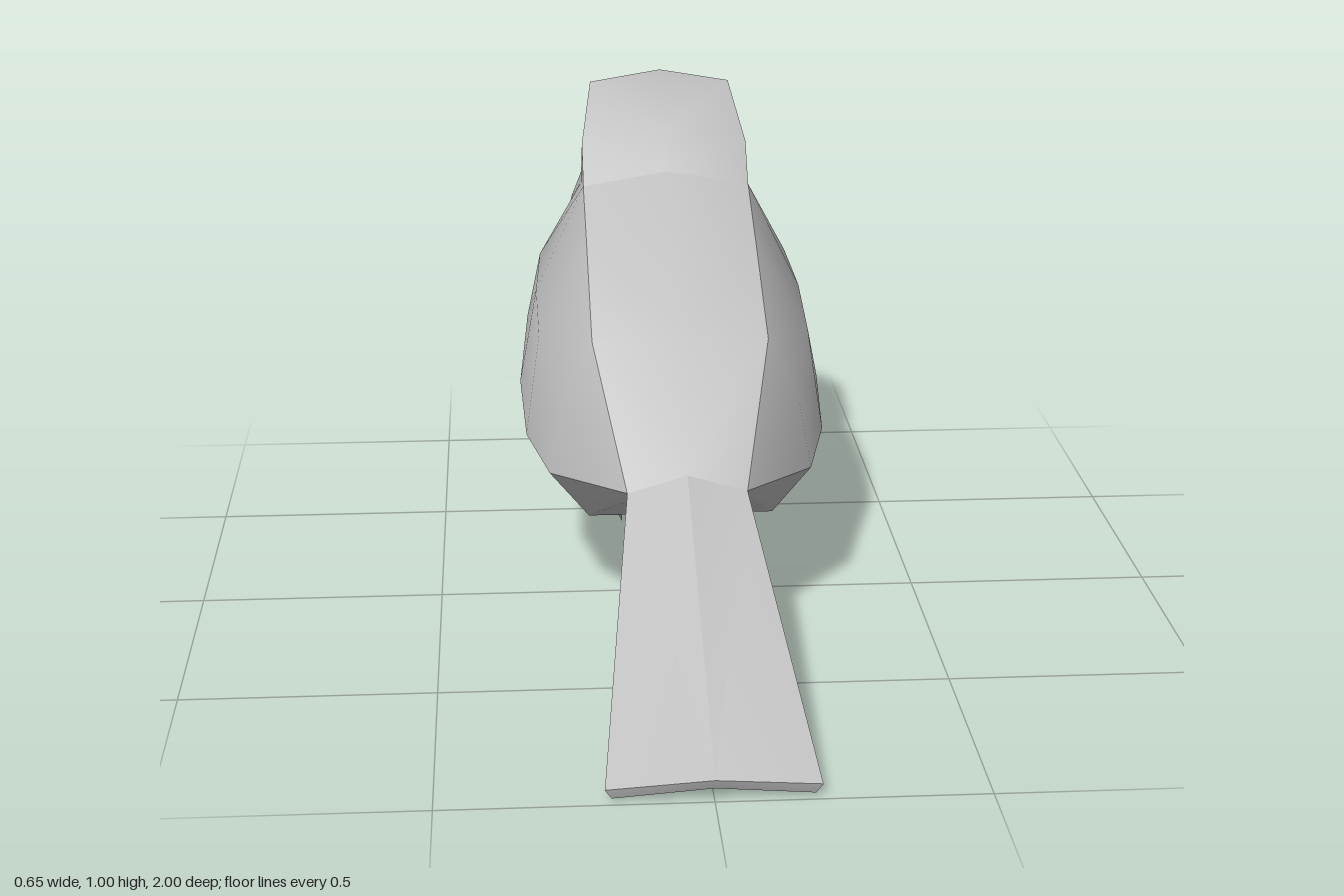
import * as THREE from 'three';
import { toCreasedNormals } from 'three/addons/utils/BufferGeometryUtils.js';

const plumage = new THREE.MeshStandardMaterial({ color: 0xc0c0c0, side: THREE.DoubleSide });
plumage.name = 'plain grey';

// Skins neighbouring cross-sections (ordered tail to beak, each top to bottom),
// adding the mirrored half as well.
function loft(name, sections, crease = 0.9, mirror = true) {
  const pos = [];
  const tri = (a, b, c) => {
    if (a === b || b === c || a === c) return;
    pos.push(...a, ...b, ...c);
    if (mirror) for (const p of [a, c, b]) pos.push(-p[0], p[1], p[2]);
  };
  for (let i = 0; i + 1 < sections.length; i++) {
    const s = sections[i], t = sections[i + 1];
    for (let j = 0; j + 1 < s.length; j++) {
      tri(s[j], s[j + 1], t[j + 1]);
      tri(s[j], t[j + 1], t[j]);
    }
  }
  let geo = new THREE.BufferGeometry();
  geo.setAttribute('position', new THREE.Float32BufferAttribute(pos, 3));
  geo = toCreasedNormals(geo, crease);
  const mesh = new THREE.Mesh(geo, plumage);
  mesh.name = name;
  return mesh;
}

export function createModel() {
  const bird = new THREE.Group();
  bird.name = 'bird';

  // Guide lines of the trunk, from tail root to breast
  const spine = [[0, 0.36, 0.29], [0, 0.6, 0.09], [0, 0.75, -0.17], [0, 0.825, -0.36]];
  const root = [0.12, 0.325, 0.29];
  const ridge = [root, [0.18, 0.575, 0.075], [0.18, 0.7, -0.2], [0.18, 0.785, -0.4],
    [0.18, 0.75, -0.58], [0.2, 0.69, -0.685]];
  const flank = [root, [0.245, 0.44, 0.08], [0.285, 0.53, -0.13], [0.287, 0.57, -0.34],
    [0.275, 0.6, -0.53], [0.203, 0.655, -0.688]];
  const wingEdge = [root, [0.27, 0.3, 0.09], [0.315, 0.32, -0.1], [0.325, 0.375, -0.3],
    [0.305, 0.46, -0.52], [0.2, 0.62, -0.685]];
  const side = [[0.1, 0.315, 0.29], [0.19, 0.205, 0.09], [0.2, 0.205, -0.12],
    [0.22, 0.245, -0.38], [0.2, 0.35, -0.63], [0.14, 0.5, -0.75]];
  const keel = [[0, 0.31, 0.29], [0, 0.205, 0.09], [0, 0.19, -0.12],
    [0, 0.215, -0.4], [0, 0.35, -0.67], [0, 0.5, -0.78]];

  // Points of the face
  const throatSide = [0.12, 0.62, -0.75], throat = [0, 0.62, -0.78];
  const cheek = [0.15, 0.8, -0.74], gape = [0.11, 0.775, -0.81];
  const brow = [0, 0.868, -0.865], chin = [0, 0.73, -0.83], tip = [0, 0.777, -1];
  const crown = [0, 0.96, -0.79], crownSide = [0.12, 0.94, -0.77];

  bird.add(
    loft('back', spine.map((p, i) => [p, ridge[i]])),
    loft('wings', ridge.map((p, i) => [p, flank[i], wingEdge[i]])),
    loft('belly', [...wingEdge.map((p, i) => [p, side[i], keel[i]]),
      [ridge[5], throatSide, throat]]),
    loft('head', [
      [spine[3], ridge[3], ridge[3], ridge[3]],
      [[0, 0.905, -0.41], [0.18, 0.865, -0.47], ridge[4], ridge[4]],
      [[0, 0.995, -0.63], [0.155, 0.965, -0.65], cheek, ridge[5]],
      [crown, crownSide, gape, throatSide],
      [brow, brow, gape, throatSide],
    ]),
    loft('throat', [[gape, throatSide], [chin, throat]]),
    loft('beak', [[brow, gape, chin], [tip, tip, tip]], 0.5),
  );

  // Fanned tail, slightly roofed along its middle
  const tailEnd = [[0, 0.042, 1], [0.195, 0.022, 0.985], [0.183, 0.003, 0.98], [0, 0.022, 0.99]];
  const tailMid = tailEnd[3];
  bird.add(
    loft('tail', [tailEnd, [spine[0], root, side[0], [0, 0.335, 0.29]]], 0.5),
    loft('tailTip', [[tailEnd[0], tailMid], [tailEnd[1], tailEnd[2]]], 0.5),
  );

  // Thin pointed legs
  for (const s of [1, -1]) {
    const foot = [s * 0.1, 0, -0.415];
    const a = [s * 0.185, 0.225, -0.205], b = [s * 0.1, 0.225, -0.235], c = [s * 0.15, 0.225, -0.315];
    const ring = s > 0 ? [a, b, c, a] : [a, c, b, a];
    bird.add(loft(s > 0 ? 'leftLeg' : 'rightLeg', [ring, ring.map(() => foot)], 0.3, false));
  }
  return bird;
}
